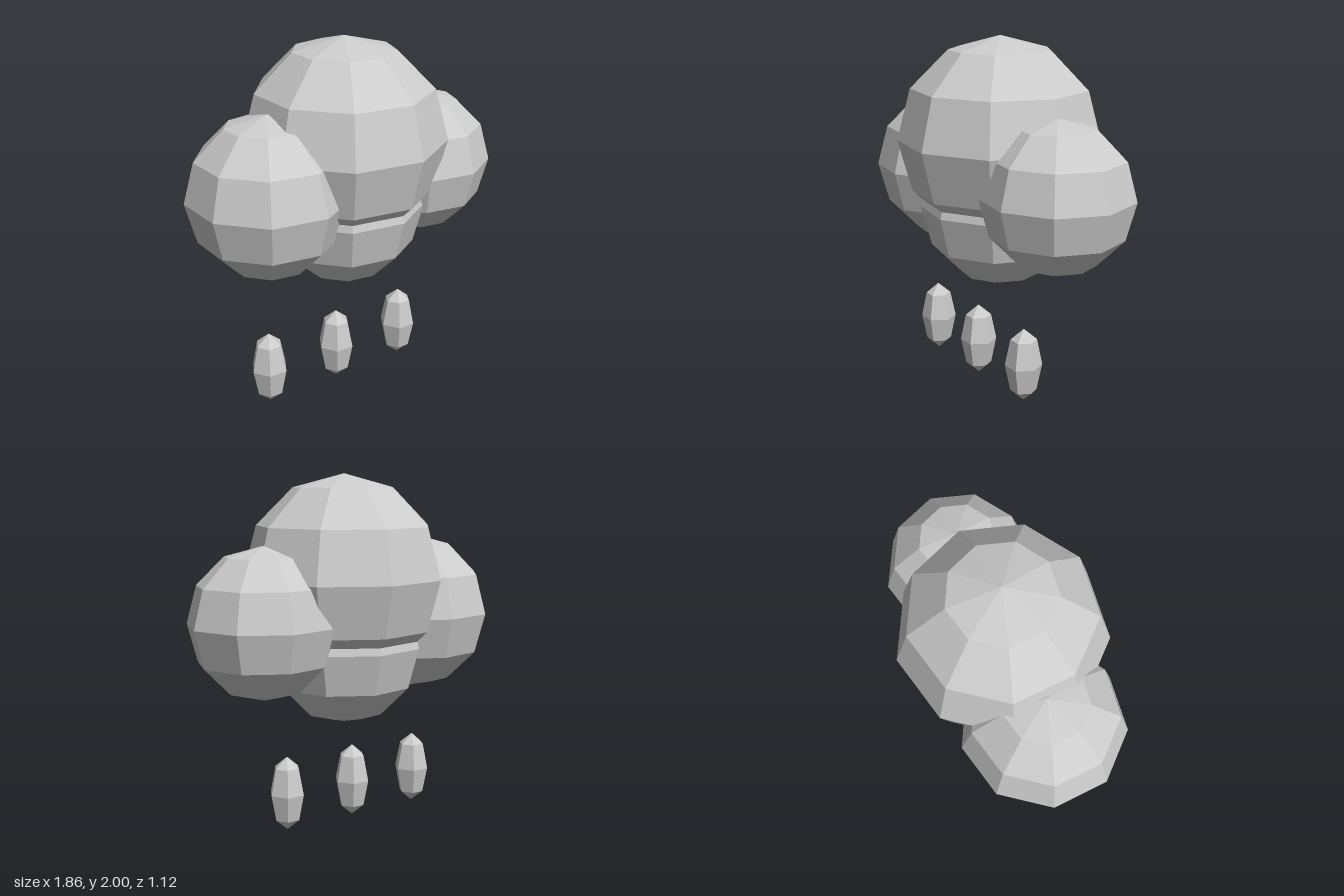
import * as THREE from 'three';

export function createModel() {
  const group = new THREE.Group();
  group.name = 'rainCloud';
  const grey = new THREE.MeshStandardMaterial({ color: 0xcccccc });
  grey.name = 'cloud grey';
  grey.flatShading = true;

  // faceted ball with one corner line pointing along +x
  function ball(name, radius, sides, rows, x, y, z, stretch = 1) {
    const geometry = new THREE.SphereGeometry(radius, sides, rows);
    geometry.rotateY(Math.PI);
    geometry.scale(1, stretch, 1);
    const mesh = new THREE.Mesh(geometry, grey);
    mesh.name = name;
    mesh.position.set(x, y, z);
    group.add(mesh);
  }

  // cloud puffs
  ball('topPuff', 0.57, 9, 6, -0.015, 1.43, 0);
  ball('bottomPuff', 0.45, 9, 6, -0.015, 1.05, 0);
  ball('rightPuff', 0.45, 9, 6, -0.51, 1.203, 0);
  ball('leftPuff', 0.416, 9, 6, 0.514, 1.206, 0);

  // row of stretched raindrops
  ['rightDrop', 'middleDrop', 'leftDrop'].forEach((name, i) => {
    ball(name, 0.105, 6, 4, -0.586 + i * 0.456, 0.214, 0.077, 2.03);
  });

  return group;
}
